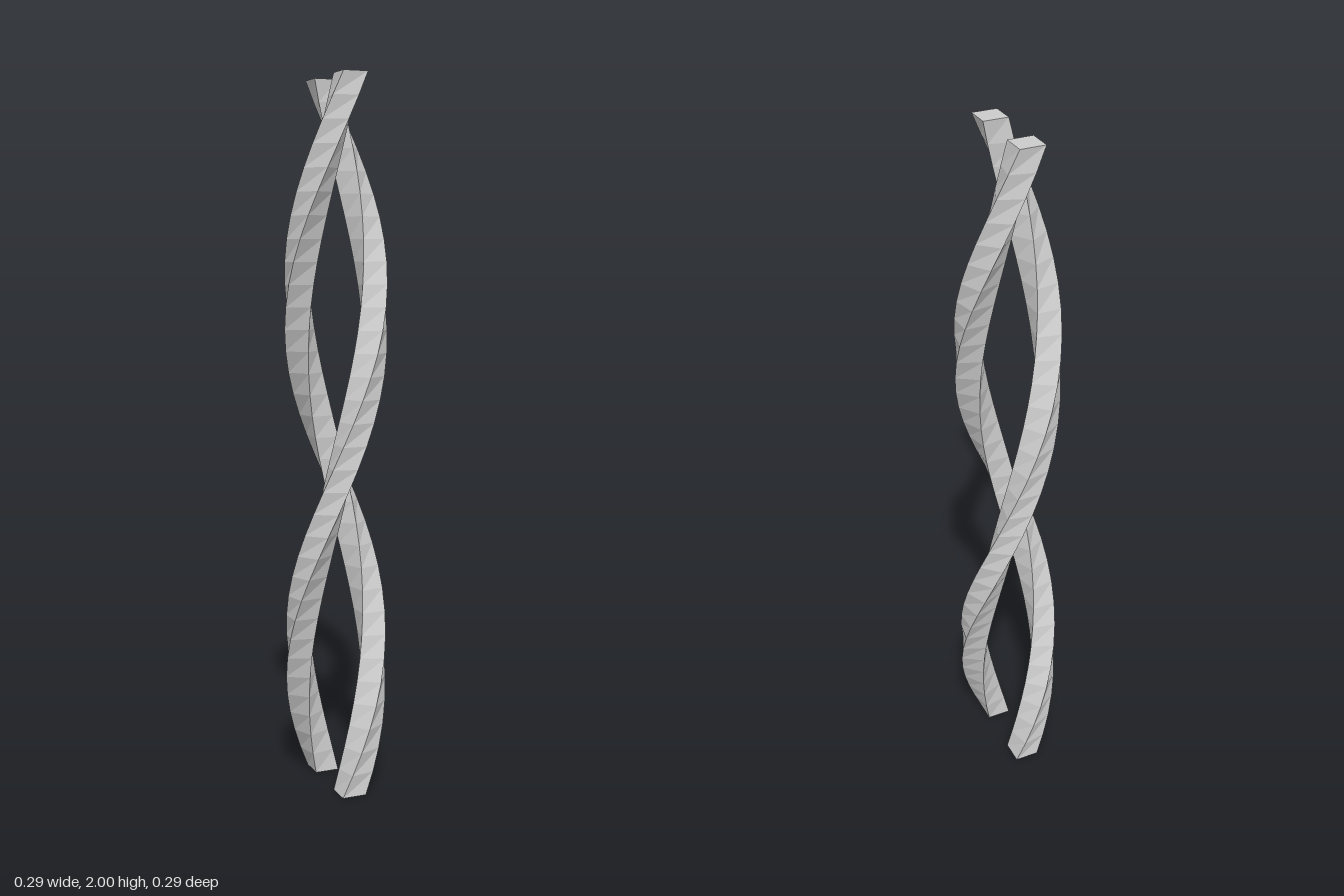
import * as THREE from 'three';

const HEIGHT = 2;
const SIDE = 0.07; // square bar section
const RADIUS = 0.1036; // bar centre to the twist axis
const SEGMENTS = 32;
const END_ANGLE = THREE.MathUtils.degToRad(15);

// A square bar set off the axis and twisted one full turn over its height
function twistedBar(startAngle) {
  const geometry = new THREE.BoxGeometry(SIDE, HEIGHT, SIDE, 1, SEGMENTS, 1);
  geometry.translate(RADIUS, HEIGHT / 2, 0);
  const position = geometry.attributes.position;
  const axis = new THREE.Vector3(0, 1, 0);
  const v = new THREE.Vector3();
  for (let i = 0; i < position.count; i++) {
    v.fromBufferAttribute(position, i);
    const turn = startAngle + ((HEIGHT - v.y) / HEIGHT) * Math.PI * 2;
    v.applyAxisAngle(axis, -turn);
    position.setXYZ(i, v.x, v.y, v.z);
  }
  geometry.computeVertexNormals();
  return geometry;
}

export function createModel() {
  const group = new THREE.Group();
  group.name = 'twistedPair';
  const material = new THREE.MeshStandardMaterial({ color: 0xcccccc, flatShading: true });

  // Two identical strands, half a turn apart
  ['leftStrand', 'rightStrand'].forEach((name, i) => {
    const strand = new THREE.Mesh(twistedBar(END_ANGLE + i * Math.PI), material);
    strand.name = name;
    group.add(strand);
  });
  return group;
}
